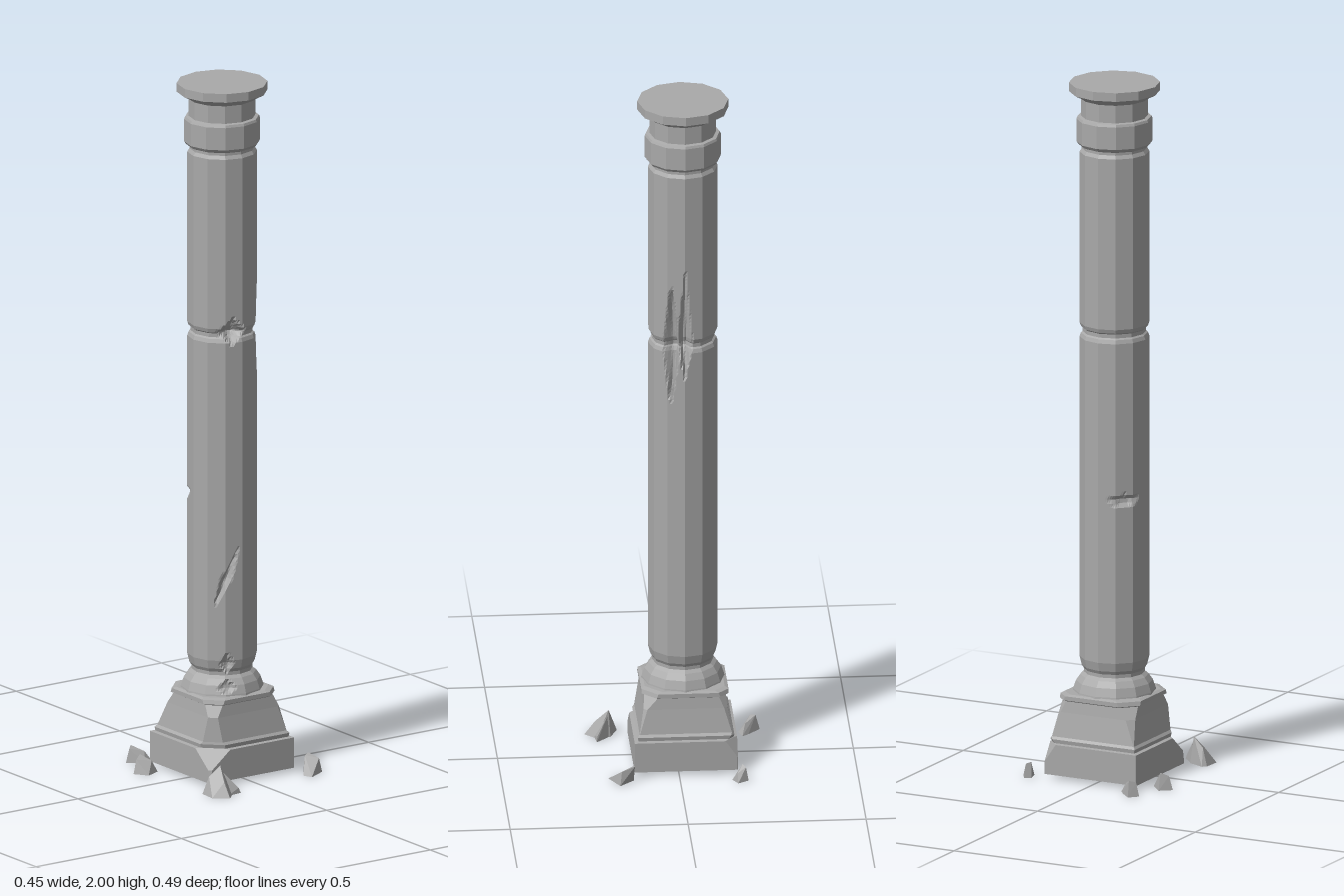
import * as THREE from 'three';
import { ConvexGeometry } from 'three/addons/geometries/ConvexGeometry.js';

// Skin of quads over equal-length rings listed from bottom to top, with a flat cap on top.
function loft(rings) {
  const n = rings[0].length, pos = [], idx = [];
  rings.forEach(r => r.forEach(p => pos.push(...p)));
  for (let i = 0; i < rings.length - 1; i++) {
    for (let j = 0; j < n; j++) {
      const a = i * n + j, b = i * n + (j + 1) % n;
      idx.push(a, a + n, b, b, a + n, b + n);
    }
  }
  const top = (rings.length - 1) * n;
  for (let j = 1; j < n - 1; j++) idx.push(top, top + j + 1, top + j);
  const g = new THREE.BufferGeometry();
  g.setAttribute('position', new THREE.Float32BufferAttribute(pos, 3));
  g.setIndex(idx);
  g.computeVertexNormals();
  return g;
}

// Diamond-shaped gouges: angle, height, reach up and down, half width, depth, lean
const DENTS = [
  { a: 0.0, y: 1.29, up: 0.22, down: 0.1, w: 0.024, d: 0.03, lean: 0 },
  { a: 0.42, y: 1.28, up: 0.2, down: 0.18, w: 0.03, d: 0.028, lean: 0 },
  { a: 1.87, y: 1.295, up: 0.04, down: 0.035, w: 0.05, d: 0.035, lean: 0 },
  { a: 2.05, y: 0.58, up: 0.09, down: 0.09, w: 0.018, d: 0.022, lean: -0.45 },
  { a: 2.05, y: 0.33, up: 0.035, down: 0.03, w: 0.025, d: 0.016, lean: 0 },
  { a: 2.05, y: 0.265, up: 0.02, down: 0.02, w: 0.03, d: 0.015, lean: 0 },
  { a: 3.93, y: 0.81, up: 0.018, down: 0.018, w: 0.07, d: 0.014, lean: 0 },
];

function dentDepth(a, y) {
  let depth = 0;
  for (const k of DENTS) {
    const dy = y - k.y;
    const v = 1 - Math.abs(dy) / (dy > 0 ? k.up : k.down);
    if (v <= 0) continue;
    const turn = Math.atan2(Math.sin(a - k.a), Math.cos(a - k.a));
    const u = 1 - Math.abs(turn * 0.1 - k.lean * dy) / (k.w * v);
    if (u > 0) depth = Math.max(depth, k.d * Math.min(1, u * 1.5) * Math.sqrt(v));
  }
  return depth;
}

// Twelve-sided turned column with dents pressed into it
function columnGeometry() {
  const profile = [
    [0.118, 0.235], [0.116, 0.246], [0.108, 0.27], [0.096, 0.287], [0.086, 0.295], [0.086, 0.305],
    [0.092, 0.315], [0.098, 0.34], [0.098, 1.265], [0.094, 1.276], [0.089, 1.28], [0.089, 1.291],
    [0.094, 1.295], [0.098, 1.306], [0.098, 1.8], [0.092, 1.81], [0.092, 1.818], [0.101, 1.822],
    [0.107, 1.83], [0.107, 1.895], [0.104, 1.902], [0.094, 1.904], [0.094, 1.955], [0.11, 1.966],
    [0.128, 1.975], [0.128, 2],
  ];
  const sides = 12, segs = 96, half = Math.PI / sides, rings = [];
  const addRing = (r, y) => {
    const ring = [];
    for (let j = 0; j < segs; j++) {
      const a = j / segs * Math.PI * 2;
      const flat = r * Math.cos(half) / Math.cos(a % (2 * half) - half) - dentDepth(a, y);
      ring.push([flat * Math.cos(a), y, flat * Math.sin(a)]);
    }
    rings.push(ring);
  };
  profile.forEach(([r, y], i) => {
    if (i) {
      const [r0, y0] = profile[i - 1];
      const steps = Math.ceil((y - y0) / 0.012);
      for (let s = 1; s < steps; s++) {
        const t = s / steps;
        addRing(r0 + (r - r0) * t, y0 + (y - y0) * t);
      }
    }
    addRing(r, y);
  });
  return loft(rings);
}

// Square section whose corners are broken off: front left, back left, back right, front right
function squareRing([y, h, cuts]) {
  const [c0, c1, c2, c3] = cuts.map(c => Math.max(c, 0.001));
  return [
    [h, y, h - c0], [h - c0, y, h],
    [-h + c3, y, h], [-h, y, h - c3],
    [-h, y, -h + c2], [-h + c2, y, -h],
    [h - c1, y, -h], [h, y, -h + c1],
  ];
}

const BASE = [
  [0.012, 0.145, [0, 0, 0, 0]],
  [0.05, 0.145, [0, 0, 0, 0.008]],
  [0.1, 0.145, [0, 0.035, 0, 0.07]],
  [0.102, 0.134, [0, 0.015, 0, 0.05]],
  [0.113, 0.136, [0, 0.01, 0, 0.05]],
  [0.12, 0.13, [0, 0, 0, 0.04]],
  [0.19, 0.118, [0.01, 0.01, 0.02, 0.02]],
  [0.222, 0.114, [0.035, 0.02, 0.04, 0.035]],
  [0.226, 0.122, [0.04, 0.025, 0.045, 0.04]],
  [0.238, 0.122, [0.045, 0.03, 0.05, 0.045]],
  [0.242, 0.112, [0.045, 0.03, 0.05, 0.045]],
];

// Loose stones: outline on the ground [x, z], then the raised points [x, y, z]
const STONES = [
  { foot: [[-0.176, -0.223], [-0.153, -0.248], [-0.119, -0.214], [-0.105, -0.196], [-0.137, -0.186]],
    peaks: [[-0.165, 0.04, -0.222], [-0.15, 0.045, -0.236], [-0.125, 0.03, -0.205]] },
  { foot: [[-0.226, -0.116], [-0.194, -0.141], [-0.156, -0.098], [-0.2, -0.079]],
    peaks: [[-0.215, 0.04, -0.118], [-0.194, 0.05, -0.13], [-0.175, 0.035, -0.1]] },
  { foot: [[0.188, -0.179], [0.206, -0.191], [0.224, -0.161], [0.197, -0.146]],
    peaks: [[0.192, 0.045, -0.175], [0.204, 0.04, -0.184], [0.21, 0.025, -0.16]] },
  { foot: [[0.153, 0.173], [0.183, 0.13], [0.219, 0.17], [0.163, 0.2]],
    peaks: [[0.186, 0.045, 0.133], [0.201, 0.05, 0.128], [0.212, 0.04, 0.165]] },
  { foot: [[-0.187, 0.162], [-0.176, 0.152], [-0.128, 0.173], [-0.119, 0.212], [-0.151, 0.245], [-0.19, 0.214]],
    peaks: [[-0.17, 0.05, 0.17], [-0.137, 0.078, 0.178], [-0.15, 0.04, 0.215]] },
  { foot: [[-0.13, 0.175], [-0.092, 0.214], [-0.119, 0.213], [-0.14, 0.22]],
    peaks: [[-0.132, 0.06, 0.182], [-0.098, 0.015, 0.212]] },
];

export function createModel() {
  const stone = new THREE.MeshStandardMaterial({ color: 0xa9a9a9, flatShading: true, side: THREE.DoubleSide });
  stone.name = 'grey stone';
  const model = new THREE.Group();
  model.name = 'ruinedColumn';
  const add = (name, geometry, parent) => {
    const mesh = new THREE.Mesh(geometry, stone);
    mesh.name = name;
    parent.add(mesh);
  };

  // Standing pillar, slightly off the middle of the group
  const pillar = new THREE.Group();
  pillar.name = 'pillar';
  pillar.position.set(0.01, 0, -0.02);
  add('column', columnGeometry(), pillar);
  add('plinth', loft(BASE.map(squareRing)), pillar);
  model.add(pillar);

  // Fallen pieces around the plinth
  const rubble = new THREE.Group();
  rubble.name = 'rubble';
  STONES.forEach(({ foot, peaks }, i) => {
    const points = [
      ...foot.map(([x, z]) => new THREE.Vector3(x, 0, z)),
      ...peaks.map(p => new THREE.Vector3(...p)),
    ];
    add('brokenStone' + (i + 1), new ConvexGeometry(points), rubble);
  });
  model.add(rubble);
  return model;
}
